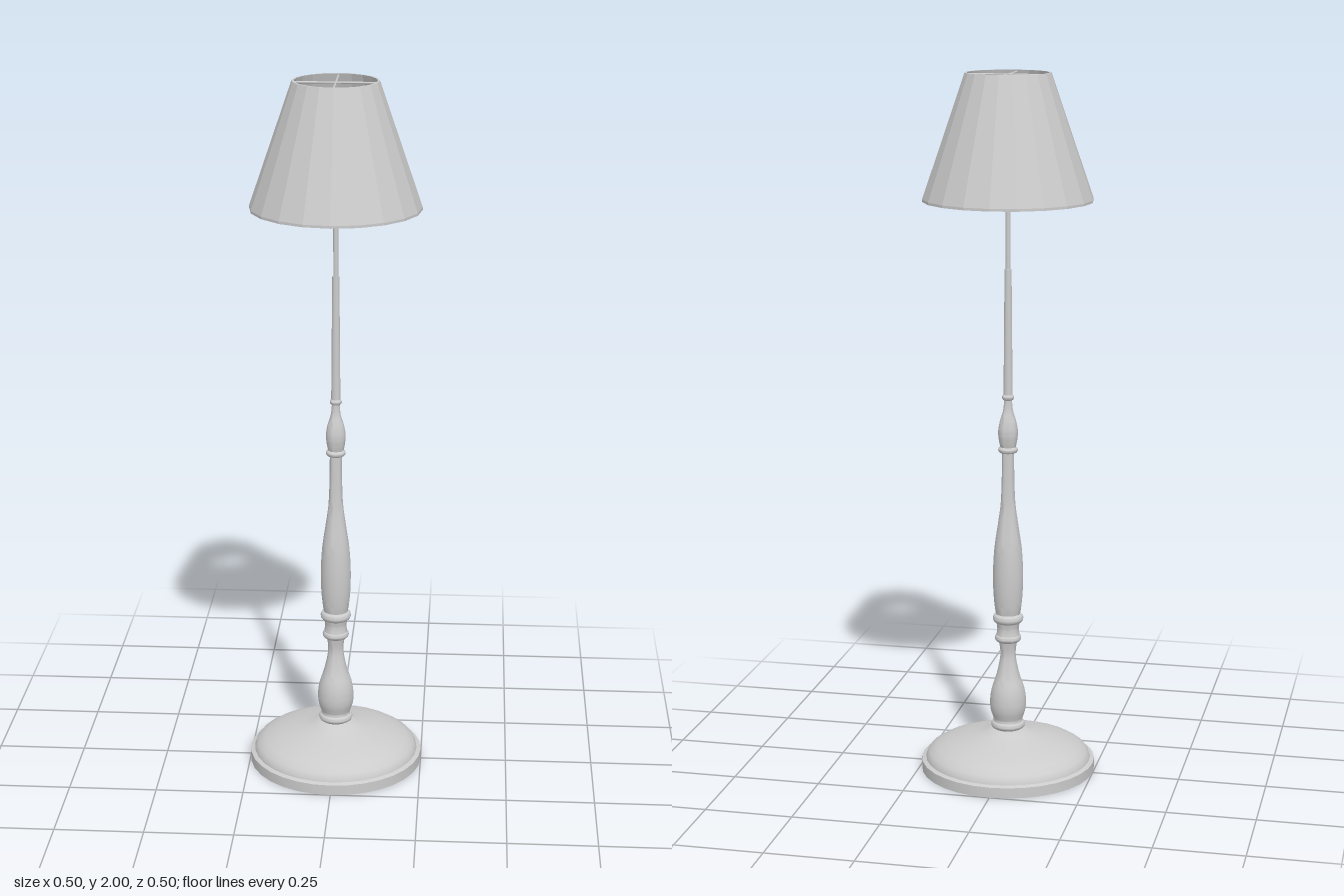
import * as THREE from 'three';
import { toCreasedNormals } from 'three/addons/utils/BufferGeometryUtils.js';

const grey = new THREE.MeshStandardMaterial({ color: 0xcccccc });
const facetedThin = new THREE.MeshStandardMaterial({ color: 0xcccccc, flatShading: true, side: THREE.DoubleSide });

export function createModel() {
  const lamp = new THREE.Group();
  lamp.name = 'floorLamp';

  const add = (name, geometry, y = 0, material = grey, parent = lamp) => {
    const mesh = new THREE.Mesh(geometry, material);
    mesh.name = name;
    mesh.position.y = y;
    parent.add(mesh);
    return mesh;
  };
  // Turned part from [radius, height] pairs, listed from the bottom up
  const turned = (name, profile, sides = 32) => {
    const points = profile.map(([r, y]) => new THREE.Vector2(r, y));
    return add(name, toCreasedNormals(new THREE.LatheGeometry(points, sides), 0.75));
  };
  // Smooth swelling sections between the beads
  const turnedCurve = (name, profile, steps) => {
    const curve = new THREE.SplineCurve(profile.map(([r, y]) => new THREE.Vector2(r, y)));
    return turned(name, curve.getPoints(steps).map((p) => [p.x, p.y]), 24);
  };
  // Rounded ring around the stem
  const bead = (name, y, radius, half) => {
    const profile = [[0, y - half]];
    for (let i = 0; i <= 8; i++) {
      const a = -Math.PI / 2 + (Math.PI * i) / 8;
      profile.push([radius - half + half * Math.cos(a), y + half * Math.sin(a)]);
    }
    profile.push([0, y + half]);
    return turned(name, profile, 24);
  };

  // Round foot with a stepped edge and a domed top
  turned('foot', [
    [0, 0], [0.25, 0], [0.25, 0.03], [0.238, 0.034], [0.236, 0.042], [0.228, 0.054],
    [0.208, 0.067], [0.175, 0.08], [0.13, 0.093], [0.09, 0.103], [0.062, 0.112], [0.046, 0.12], [0, 0.12],
  ]);

  // Stem, lower to upper
  bead('footBead', 0.132, 0.049, 0.012);
  turnedCurve('lowerVase', [
    [0.043, 0.14], [0.042, 0.15], [0.05, 0.175], [0.052, 0.205], [0.047, 0.24],
    [0.034, 0.28], [0.025, 0.32], [0.022, 0.35], [0.026, 0.38],
  ], 28);
  bead('lowerBead', 0.393, 0.038, 0.012);
  turnedCurve('neck', [[0.034, 0.4], [0.031, 0.42], [0.034, 0.44]], 8);
  bead('middleBead', 0.452, 0.044, 0.014);
  turnedCurve('longVase', [
    [0.034, 0.462], [0.038, 0.485], [0.042, 0.53], [0.043, 0.59], [0.039, 0.66],
    [0.029, 0.73], [0.021, 0.79], [0.018, 0.86], [0.017, 0.94],
  ], 32);
  bead('upperBead', 0.947, 0.028, 0.009);
  turnedCurve('upperVase', [
    [0.022, 0.955], [0.026, 0.975], [0.028, 1.0], [0.023, 1.03], [0.014, 1.06], [0.011, 1.09],
  ], 18);
  bead('topBead', 1.098, 0.017, 0.009);

  // Slim rod in two thicknesses, collar and ball
  add('lowerRod', new THREE.CylinderGeometry(0.01, 0.013, 0.36, 16), 1.28);
  add('upperRod', new THREE.CylinderGeometry(0.007, 0.007, 0.24, 16), 1.58);
  bead('rodCollar', 1.638, 0.012, 0.008);
  add('ball', new THREE.SphereGeometry(0.034, 24, 16), 1.71);

  // Faceted shade with a thin wall and an open top and bottom
  const shade = new THREE.Group();
  shade.name = 'lampshade';
  lamp.add(shade);
  const wall = [[0.231, 1.65], [0.237, 1.65], [0.237, 1.657], [0.119, 2], [0.113, 2], [0.231, 1.65]];
  add('shadeWall', new THREE.LatheGeometry(wall.map(([r, y]) => new THREE.Vector2(r, y)), 20), 0, facetedThin, shade);

  // Crossed wires at both openings
  for (const [name, y, radius] of [['topWire', 1.994, 0.115], ['bottomWire', 1.654, 0.233]]) {
    for (let i = 0; i < 2; i++) {
      const wire = add(name, new THREE.CylinderGeometry(0.003, 0.003, radius * 2, 8), y, grey, shade);
      wire.rotation.set(i ? Math.PI / 2 : 0, 0, i ? 0 : Math.PI / 2);
    }
  }
  return lamp;
}
